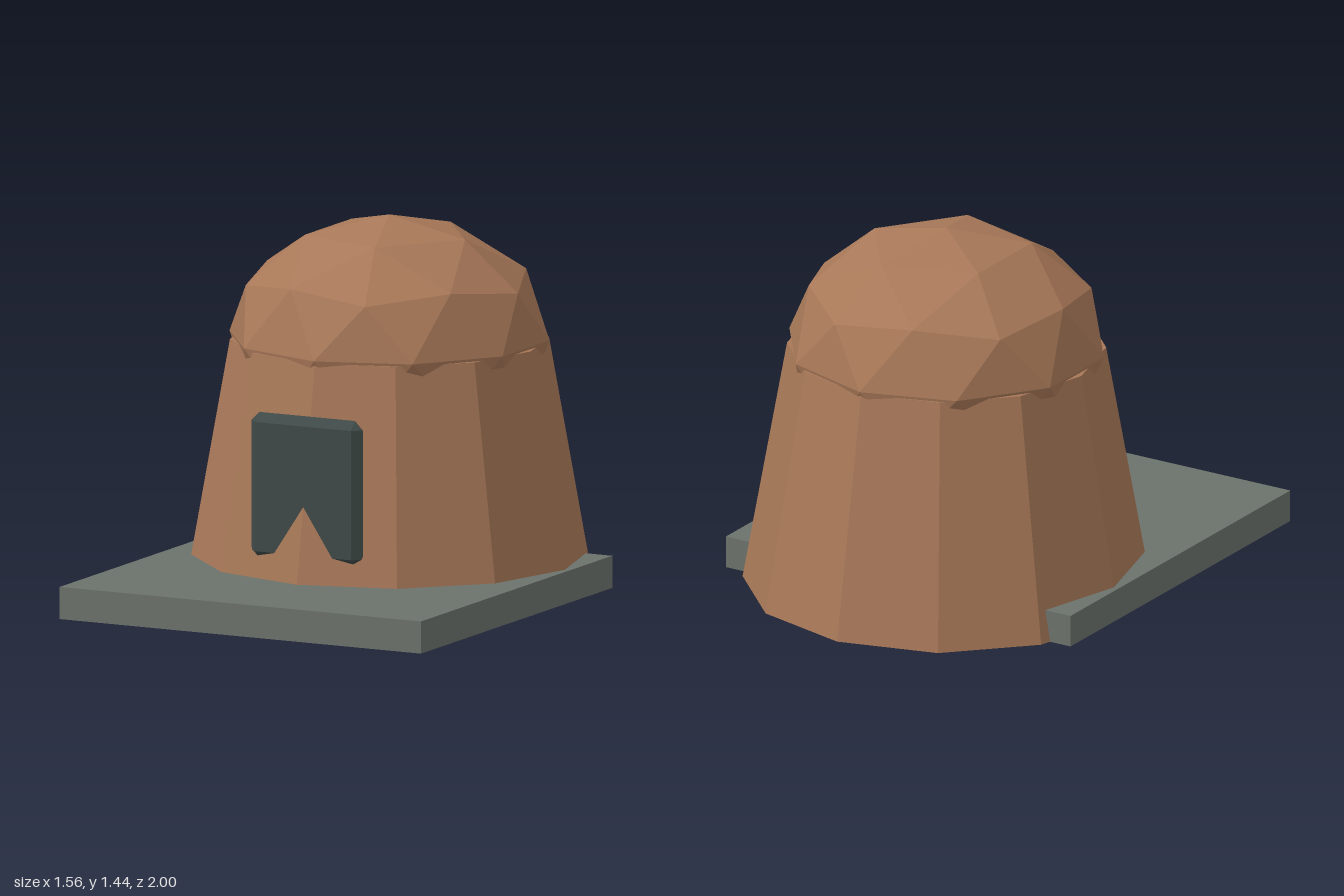
import * as THREE from 'three';
import { ConvexGeometry } from 'three/addons/geometries/ConvexGeometry.js';

const material = (color) => new THREE.MeshStandardMaterial({ color, flatShading: true });

function addPart(group, name, geometry, mat) {
  const mesh = new THREE.Mesh(geometry, mat);
  mesh.name = name;
  group.add(mesh);
  return mesh;
}

// Slab with every edge chamfered down to a ridge halfway through its depth
function chamferedSlab(width, height, depth, bevel) {
  const w = width / 2, h = height / 2, d = depth / 2;
  const points = [];
  for (const sx of [-1, 1]) {
    for (const sy of [-1, 1]) {
      for (const sz of [-1, 1]) {
        points.push(new THREE.Vector3(sx * (w - bevel), sy * (h - bevel), sz * d));
      }
      points.push(new THREE.Vector3(sx * w, sy * (h - bevel), 0));
      points.push(new THREE.Vector3(sx * (w - bevel), sy * h, 0));
    }
  }
  return new ConvexGeometry(points);
}

export function createModel() {
  const group = new THREE.Group();
  group.name = 'hut';
  const clay = material(0xa87858);
  const stone = material(0x6b716b);
  const slate = material(0x3f4a48);
  const hutZ = -0.22;

  // Ground slab, reaching out in front of the hut
  addPart(group, 'baseSlab', new THREE.BoxGeometry(1.56, 0.125, 1.565), stone)
    .position.set(0, 0.0625, 0.2175);

  // Tapered twelve-sided wall
  addPart(group, 'wall', new THREE.CylinderGeometry(0.61, 0.78, 0.96, 12), clay)
    .position.set(0, 0.48, hutZ);

  // Faceted dome: icosphere turned point up, then flattened
  const dome = new THREE.IcosahedronGeometry(1, 1);
  dome.rotateZ(-Math.atan(2 / (1 + Math.sqrt(5))));
  dome.scale(0.62, 0.47, 0.62);
  addPart(group, 'domeRoof', dome, clay).position.set(0, 0.97, hutZ);

  // Door panel, partly sunk into the sloping wall
  addPart(group, 'door', chamferedSlab(0.48, 0.57, 0.066, 0.034), slate)
    .position.set(0, 0.48, 0.453);

  return group;
}
